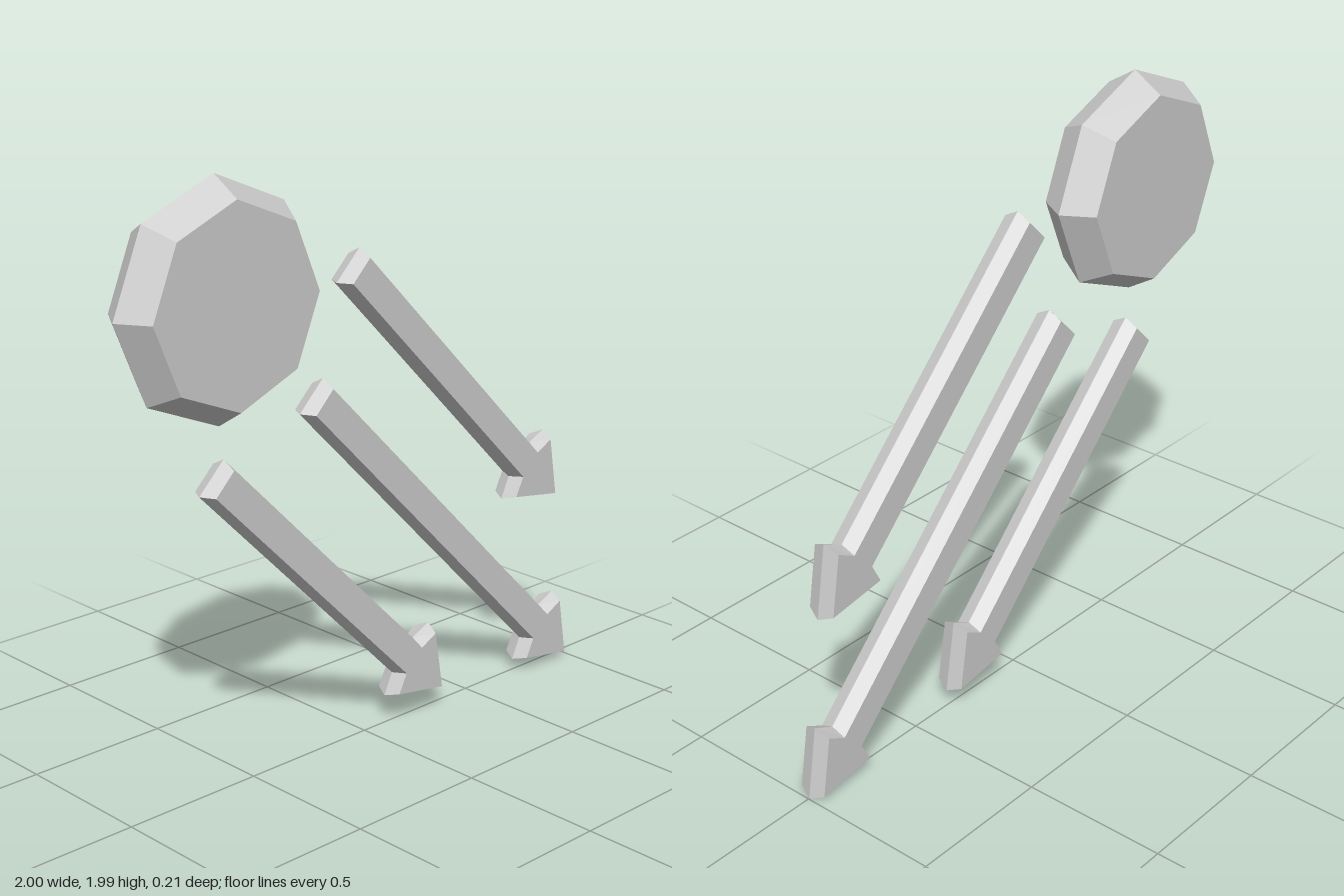
import * as THREE from 'three';

const material = new THREE.MeshStandardMaterial({ color: 0xcccccc, flatShading: true });

// Arrow with a bevelled edge, running from its tail centre to its tip
function makeArrow(name, tail, tip) {
  const length = Math.hypot(tip[0] - tail[0], tip[1] - tail[1]);
  const half = 0.07, barb = 0.148;
  const outline = new THREE.Shape([
    [0, -half], [length - 0.233, -half], [length - 0.205, -barb], [length, 0],
    [length - 0.205, barb], [length - 0.233, half], [0, half],
  ].map(([x, y]) => new THREE.Vector2(x, y)));
  const depth = 0.002, bevel = 0.018;
  const geometry = new THREE.ExtrudeGeometry(outline, {
    depth, bevelEnabled: true, bevelSegments: 1,
    bevelThickness: 0.05 - depth / 2, bevelSize: bevel, bevelOffset: -bevel,
  });
  geometry.translate(0, 0, -depth / 2);
  const arrow = new THREE.Mesh(geometry, material);
  arrow.name = name;
  arrow.position.set(tail[0], tail[1], 0);
  arrow.rotation.z = Math.atan2(tip[1] - tail[1], tip[0] - tail[0]);
  return arrow;
}

// Eight-sided disc, widest at its middle plane
function makeDisc() {
  const profile = [[0, -0.105], [0.323, -0.105], [0.387, 0], [0.323, 0.105], [0, 0.105]]
    .map(([r, y]) => new THREE.Vector2(r, y));
  const geometry = new THREE.LatheGeometry(profile, 8);
  geometry.rotateX(Math.PI / 2);
  const disc = new THREE.Mesh(geometry, material);
  disc.name = 'sunDisc';
  disc.position.set(-0.613, 1.603, 0);
  return disc;
}

export function createModel() {
  const group = new THREE.Group();
  group.name = 'sunWithRays';
  group.add(
    makeDisc(),
    makeArrow('upperRayArrow', [-0.072, 1.632], [0.92, 0.64]),
    makeArrow('middleRayArrow', [-0.233, 1.235], [0.997, 0.005]),
    makeArrow('lowerRayArrow', [-0.648, 1.058], [0.345, 0.065]),
  );
  return group;
}
